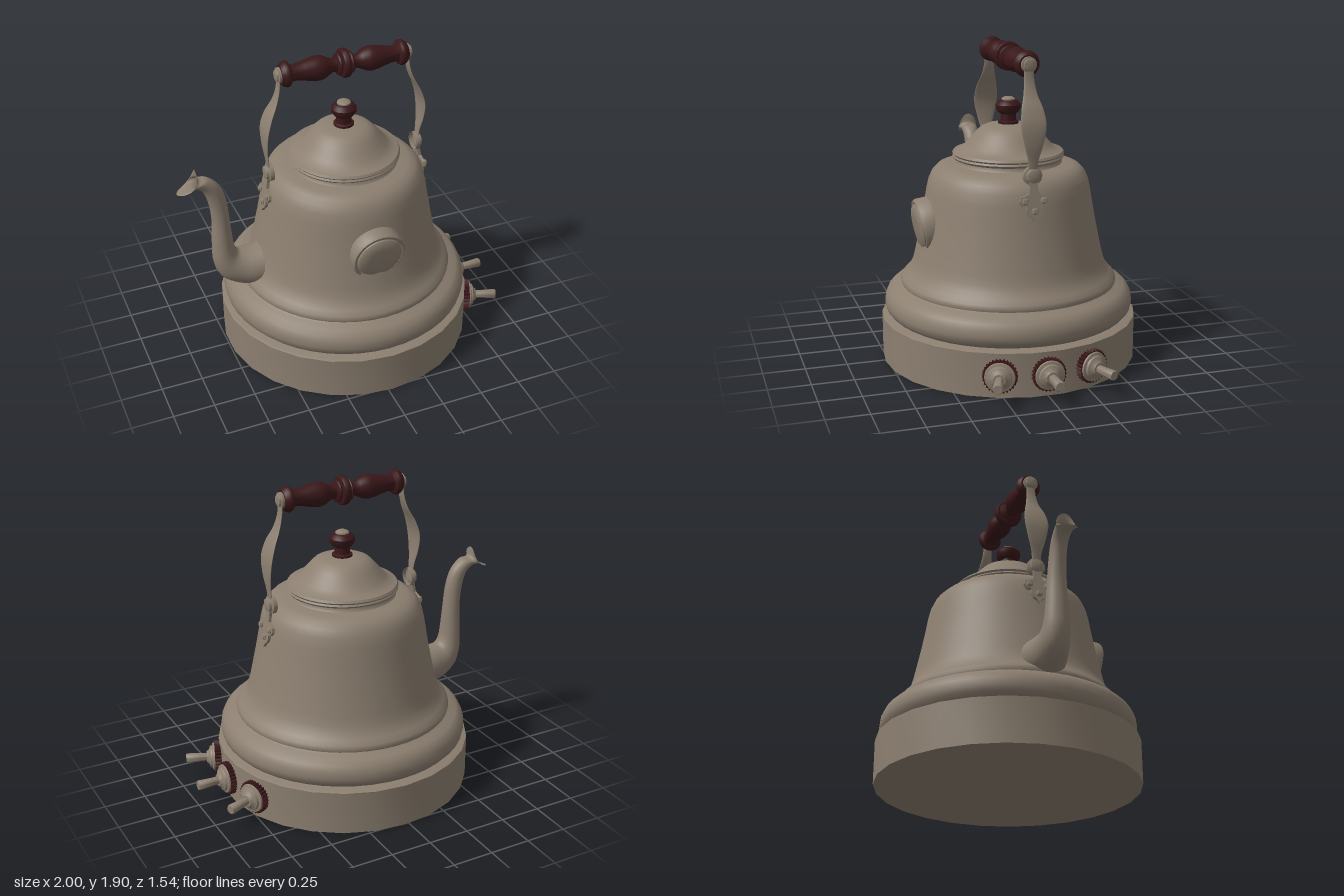
import * as THREE from 'three';
import { toCreasedNormals } from 'three/addons/utils/BufferGeometryUtils.js';

const metal = new THREE.MeshStandardMaterial({ color: 0x8c7f70, side: THREE.DoubleSide });
metal.name = 'warm grey metal';
const wood = new THREE.MeshStandardMaterial({ color: 0x3a1719 });
wood.name = 'dark red wood';

function add(parent, name, geometry, material) {
  const mesh = new THREE.Mesh(geometry, material);
  mesh.name = name;
  parent.add(mesh);
  return mesh;
}

// Turned part from [radius, height] pairs, listed bottom to top
function turned(profile, segments = 48, crease = 0.7) {
  const pts = profile.map(([r, y]) => new THREE.Vector2(r, y));
  return toCreasedNormals(new THREE.LatheGeometry(pts, segments), crease);
}

// Oval tube through sections [outerX, outerY, innerX, innerY, halfWidth];
// dip pulls the sides of the last ring back along [x, y]
function loft(sections, dip = [0, 0], steps = 48, sides = 24) {
  const outer = new THREE.CatmullRomCurve3(sections.map(s => new THREE.Vector3(s[0], s[1], s[4])), false, 'catmullrom');
  const inner = new THREE.CatmullRomCurve3(sections.map(s => new THREE.Vector3(s[2], s[3], 0)), false, 'catmullrom');
  const pos = [], index = [];
  for (let i = 0; i <= steps; i++) {
    const a = outer.getPoint(i / steps), b = inner.getPoint(i / steps);
    const k = Math.max(0, (i / steps) * 12 - 11);
    for (let j = 0; j < sides; j++) {
      const t = (j / sides) * Math.PI * 2, c = Math.cos(t), s = Math.sin(t);
      const m = (1 - c) / 2;
      pos.push(a.x + (b.x - a.x) * m + dip[0] * k * s * s, a.y + (b.y - a.y) * m + dip[1] * k * s * s, a.z * s);
      if (i < steps) {
        const p = i * sides + j, q = i * sides + (j + 1) % sides;
        index.push(p, p + sides, q, q, p + sides, q + sides);
      }
    }
  }
  const g = new THREE.BufferGeometry();
  g.setAttribute('position', new THREE.Float32BufferAttribute(pos, 3));
  g.setIndex(index);
  g.computeVertexNormals();
  return g;
}

// Low button whose axis points along +x
function button(r, depth) {
  return turned([[r, 0], [r, depth * 0.5], [r * 0.75, depth * 0.6], [r * 0.7, depth * 0.9], [r * 0.4, depth], [0, depth]], 24)
    .rotateZ(-Math.PI / 2);
}

// Arm, rivets and leaf-shaped bracket for one side of the handle
function handleSide() {
  const side = new THREE.Group();
  const arm = [[0.468, 1.18, 0.03], [0.478, 1.28, 0.03], [0.49, 1.38, 0.055], [0.488, 1.48, 0.074], [0.462, 1.57, 0.065],
    [0.423, 1.65, 0.042], [0.4, 1.73, 0.03], [0.393, 1.82, 0.028]];
  add(side, 'handleArm', loft(arm.map(([x, y, w]) => [x + 0.007, y, x - 0.007, y, w])), metal);
  add(side, 'upperRivet', button(0.045, 0.03), metal).position.set(0.385, 1.815, 0);
  add(side, 'pivotRivet', button(0.055, 0.05), metal).position.set(0.45, 1.2, 0);

  const bracket = new THREE.Group();
  bracket.name = 'bracket';
  const half = [[0.03, 0], [0.024, -0.06], [0.028, -0.1], [0.05, -0.11], [0.08, -0.12], [0.087, -0.145], [0.07, -0.17],
    [0.045, -0.172], [0.046, -0.2], [0.034, -0.225], [0.014, -0.24]];
  const mirrored = half.slice().reverse().map(([x, y]) => [-x, y]);
  const shape = new THREE.Shape([...half, [0, -0.262], ...mirrored].map(([x, y]) => new THREE.Vector2(x, y)));
  add(bracket, 'bracketPlate', new THREE.ExtrudeGeometry(shape, { depth: 0.018, bevelEnabled: false }).rotateY(Math.PI / 2), metal);
  for (const [z, y] of [[-0.055, -0.142], [0.055, -0.142], [0, -0.2]])
    add(bracket, 'bracketRivet', button(0.02, 0.02), metal).position.set(0.014, y, z);
  bracket.position.set(0.465, 1.2, 0);
  bracket.rotation.z = 0.16;
  side.add(bracket);
  return side;
}

// Tap with toothed collar, cap and stem, pointing along +x
function tap() {
  const g = new THREE.Group();
  const teeth = 28, pts = [];
  for (let i = 0; i < teeth * 2; i++) {
    const a = (i / teeth) * Math.PI, r = i % 2 ? 0.089 : 0.1;
    pts.push(new THREE.Vector2(Math.cos(a) * r, Math.sin(a) * r));
  }
  const collar = new THREE.ExtrudeGeometry(new THREE.Shape(pts), { depth: 0.04, bevelEnabled: false });
  add(g, 'tapCollar', collar.rotateY(Math.PI / 2), wood).position.x = 0.76;
  const cap = [[0.088, 0], [0.085, 0.012], [0.07, 0.016], [0.066, 0.028], [0.045, 0.036], [0.035, 0.05], [0, 0.05]];
  add(g, 'tapCap', turned(cap, 28).rotateZ(-Math.PI / 2), metal).position.x = 0.798;
  const stem = [[0.022, 0], [0.025, 0.07], [0.03, 0.15], [0.026, 0.157], [0, 0.157]];
  add(g, 'tapStem', turned(stem, 20).rotateZ(-Math.PI / 2), metal).position.x = 0.818;
  g.position.y = 0.135;
  return g;
}

export function createModel() {
  const model = new THREE.Group();
  model.name = 'kettle';
  const core = new THREE.Group();
  core.name = 'kettleCore';
  core.position.x = 0.025;
  model.add(core);

  // Base, bell-shaped body and lid
  add(core, 'base', turned([[0, 0], [0.77, 0], [0.77, 0.262], [0.755, 0.268], [0, 0.268]], 26), metal);
  add(core, 'body', turned([[0.69, 0.262], [0.72, 0.28], [0.742, 0.305], [0.75, 0.34], [0.745, 0.38], [0.728, 0.415], [0.7, 0.44],
    [0.66, 0.452], [0.648, 0.46], [0.652, 0.475], [0.645, 0.495], [0.62, 0.52], [0.596, 0.55], [0.578, 0.59], [0.565, 0.64],
    [0.548, 0.72], [0.525, 0.83], [0.503, 0.95], [0.49, 1.03], [0.476, 1.09], [0.455, 1.135], [0.425, 1.165], [0.385, 1.18],
    [0.32, 1.187], [0.31, 1.2], [0.31, 1.215]]), metal);
  add(core, 'lid', turned([[0.3, 1.205], [0.325, 1.215], [0.332, 1.225], [0.325, 1.235], [0.333, 1.245], [0.325, 1.258],
    [0.285, 1.27], [0.255, 1.295], [0.225, 1.33], [0.195, 1.365], [0.165, 1.395], [0.13, 1.41], [0.07, 1.418], [0, 1.418]]), metal);
  add(core, 'lidKnob', turned([[0.06, 1.41], [0.06, 1.43], [0.046, 1.436], [0.045, 1.475], [0.06, 1.485], [0.073, 1.505],
    [0.075, 1.53], [0.06, 1.55], [0.042, 1.558], [0, 1.558]], 32), wood);
  add(core, 'lidKnobCap', turned([[0.042, 1.552], [0.04, 1.565], [0.025, 1.574], [0, 1.577]], 24), metal);

  // Round medallion on the front
  const medallion = new THREE.Group();
  medallion.name = 'medallion';
  add(medallion, 'medallionPlate', turned([[0.165, -0.05], [0.166, 0.02], [0.158, 0.032], [0.142, 0.03], [0.138, 0.02],
    [0.136, 0.034], [0.12, 0.046], [0.07, 0.05], [0, 0.051]], 40).rotateX(Math.PI / 2), metal);
  medallion.position.set(0, 0.83, 0.52);
  medallion.rotation.x = 0.17;
  core.add(medallion);

  // Curved spout with an open beak
  add(model, 'spout', loft([[-0.46, 0.45, -0.46, 0.715, 0.14], [-0.58, 0.455, -0.56, 0.7, 0.125], [-0.68, 0.48, -0.625, 0.7, 0.102],
    [-0.77, 0.545, -0.66, 0.71, 0.086], [-0.81, 0.65, -0.68, 0.75, 0.075], [-0.812, 0.78, -0.69, 0.83, 0.066],
    [-0.805, 0.95, -0.7, 0.95, 0.056], [-0.82, 1.08, -0.713, 1.08, 0.05], [-0.85, 1.165, -0.745, 1.18, 0.048],
    [-0.895, 1.2, -0.81, 1.245, 0.05], [-0.94, 1.2, -0.87, 1.255, 0.058], [-1, 1.18, -0.885, 1.315, 0.06]],
    [0.035, -0.02], 72), metal);

  // Swing handle
  for (const [name, turn] of [['leftHandleSide', 0], ['rightHandleSide', Math.PI]]) {
    const side = handleSide();
    side.name = name;
    side.rotation.y = turn;
    core.add(side);
  }
  const gripHalf = [[0.085, 0.012], [0.08, 0.02], [0.055, 0.025], [0.066, 0.036], [0.062, 0.045], [0.042, 0.052], [0.04, 0.075],
    [0.052, 0.1], [0.068, 0.13], [0.073, 0.16], [0.068, 0.2], [0.056, 0.25], [0.048, 0.295], [0.05, 0.325], [0.07, 0.335],
    [0.076, 0.35], [0.07, 0.368], [0.055, 0.385], [0, 0.387]];
  const grip = [...gripHalf.slice().reverse().map(([r, y]) => [r, -y]), ...gripHalf];
  add(core, 'handleGrip', turned(grip, 32).rotateZ(Math.PI / 2), wood).position.y = 1.815;

  // Three taps fanned around the left side
  for (const [i, name] of ['frontTap', 'middleTap', 'backTap'].entries()) {
    const t = tap();
    t.name = name;
    t.rotation.y = (i - 1) * 0.355;
    core.add(t);
  }
  return model;
}
